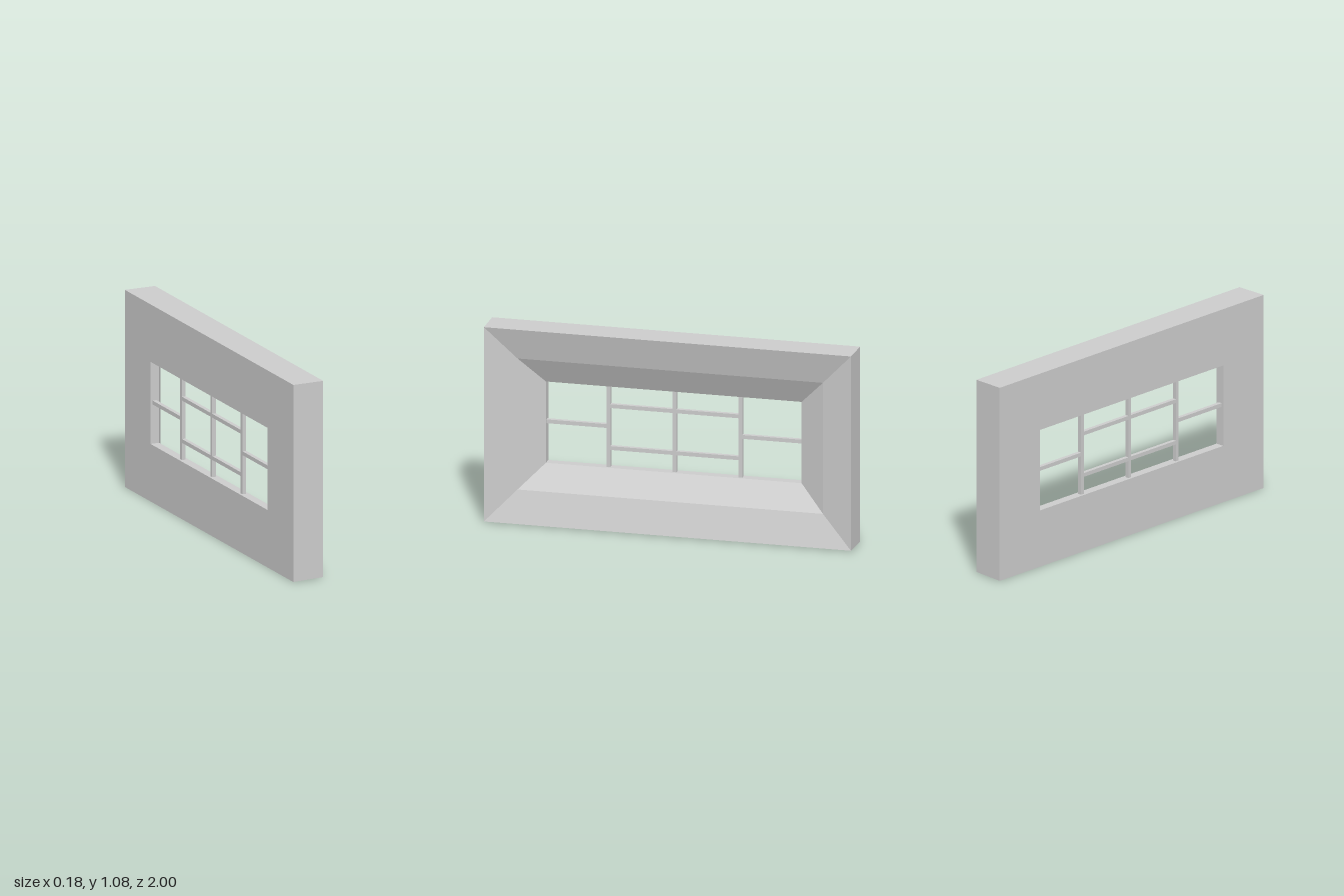
import * as THREE from 'three';

const BACK = -0.09;
const material = new THREE.MeshStandardMaterial({ color: 0xcccccc, flatShading: true });

// Rectangular ring of four corners in the plane x
const ring = (x, z0, z1, y0, y1) => [[x, y0, z0], [x, y0, z1], [x, y1, z1], [x, y1, z0]];

// Joins successive rings with flat, mitred quads
function loftRings(rings) {
  const pos = [];
  for (let r = 0; r < rings.length - 1; r++) {
    for (let i = 0; i < 4; i++) {
      const j = (i + 1) % 4;
      const a = rings[r][i], b = rings[r][j], c = rings[r + 1][j], d = rings[r + 1][i];
      pos.push(...a, ...c, ...b, ...a, ...d, ...c);
    }
  }
  const geo = new THREE.BufferGeometry();
  geo.setAttribute('position', new THREE.Float32BufferAttribute(pos, 3));
  geo.computeVertexNormals();
  return geo;
}

export function createModel() {
  const model = new THREE.Group();
  model.name = 'window';

  // Wall surround: flat back, outer sides, two-step splay, then the reveal
  const opening = [-0.695, 0.695, 0.315, 0.765];
  const surround = new THREE.Mesh(loftRings([
    ring(BACK, ...opening),
    ring(BACK, -1, 1, 0, 1.08),
    ring(0.085, -0.995, 1, 0.005, 1.08),
    ring(0.035, -0.83, 0.83, 0.18, 0.905),
    ring(-0.04, ...opening),
    ring(BACK, ...opening),
  ]), material);
  surround.name = 'splayedSurround';
  model.add(surround);

  // Glazing bars
  const bars = new THREE.Group();
  bars.name = 'glazingBars';
  model.add(bars);
  const addBar = (name, y, z, height, length) => {
    const bar = new THREE.Mesh(new THREE.BoxGeometry(0.022, height, length), material);
    bar.position.set(-0.066, y, z);
    bar.name = name;
    bars.add(bar);
  };
  const w = 0.021;
  for (const z of [-0.359, 0, 0.359]) addBar('verticalBar', 0.54, z, 0.45, w);
  for (const y of [0.42, 0.652]) addBar('centreCrossBar', y, 0, w, 0.7);
  for (const side of [-1, 1]) addBar('sideCrossBar', 0.54, side * 0.53, w, 0.33);

  return model;
}
